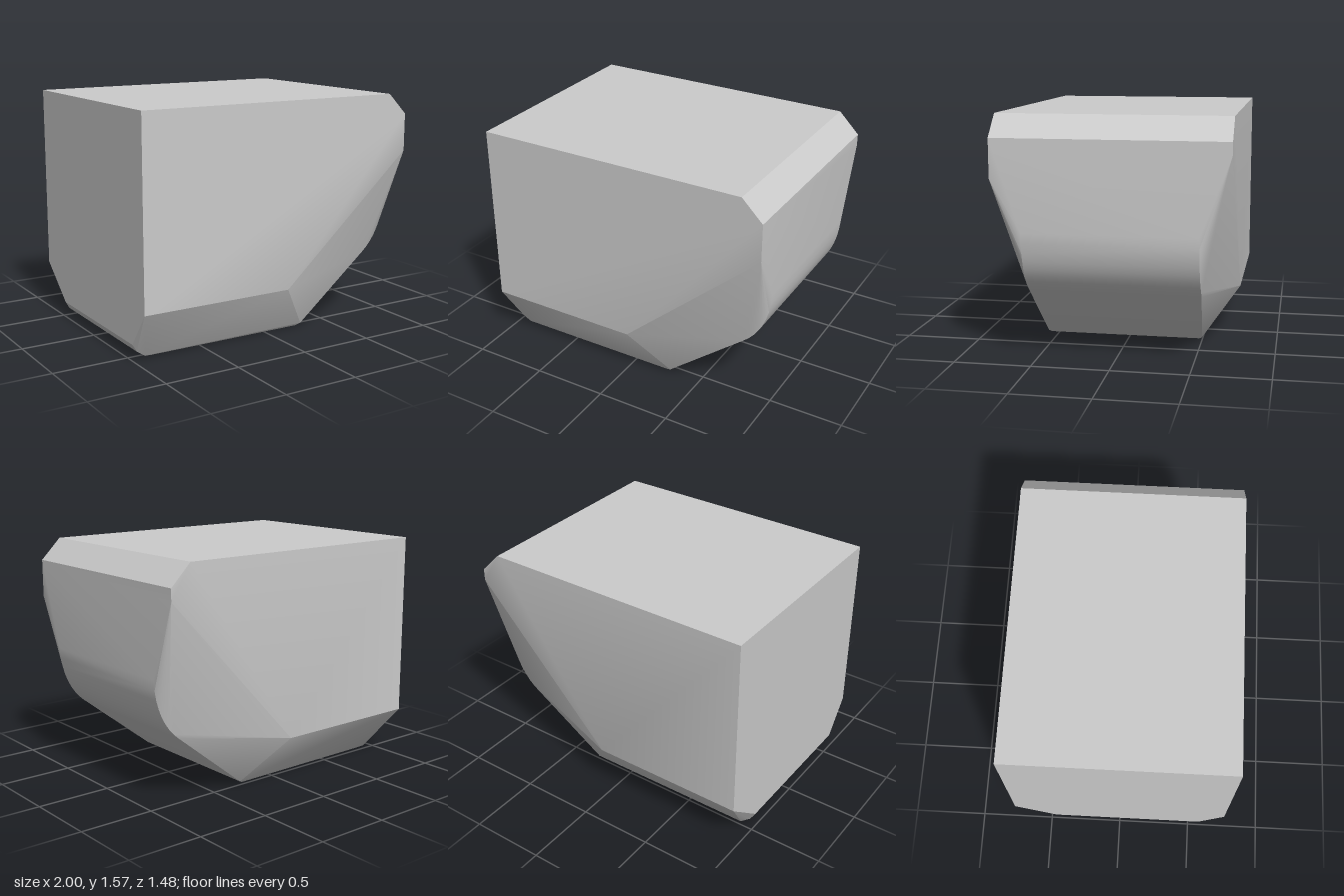
import * as THREE from 'three';
import { ConvexGeometry } from 'three/addons/geometries/ConvexGeometry.js';
import { toCreasedNormals } from 'three/addons/utils/BufferGeometryUtils.js';

// Upper side outline, shared by both flat sides; noseY is where the nose cut ends
const sideOutline = (z, noseY) => [
  [-1, 1.57], [0.86, 1.57], [1, 1.43], [1, noseY], [0.05, 0.34], [-1, 0.34],
].map(([x, y]) => new THREE.Vector3(x, y, z));

// Narrower underside: rounded heel, flat base, sloped and rounded nose
// Each row is x, y, z on the front side, z on the back side
const keel = [
  [-1, 0.11, 0.57, -0.46],
  [-0.97, 0.06, 0.57, -0.47],
  [-0.91, 0.02, 0.565, -0.49],
  [-0.85, 0.003, 0.53, -0.46],
  [0.2, 0.003, 0.53, -0.46],
  [0.25, 0.008, 0.55, -0.48],
  [0.28, 0.025, 0.565, -0.5],
  [0.82, 0.45, 0.55, -0.55],
];

// Quarter-round of the nose
const noseCurve = new THREE.CubicBezierCurve(
  new THREE.Vector2(0.82, 0.45), new THREE.Vector2(0.92, 0.53),
  new THREE.Vector2(0.99, 0.66), new THREE.Vector2(1, 0.85),
);

export function createModel() {
  const points = [...sideOutline(0.74, 1.18), ...sideOutline(-0.74, 1.35)];
  for (const [x, y, front, back] of keel) {
    points.push(new THREE.Vector3(x, y, front), new THREE.Vector3(x, y, back));
  }
  for (const p of noseCurve.getPoints(8).slice(1)) {
    points.push(new THREE.Vector3(p.x, p.y, 0.55), new THREE.Vector3(p.x, p.y, -0.55));
  }

  const body = new THREE.Mesh(
    toCreasedNormals(new ConvexGeometry(points), 0.45),
    new THREE.MeshStandardMaterial({ color: 0xcccccc }),
  );
  body.name = 'chamferedBody';

  const group = new THREE.Group();
  group.name = 'chamferedBlock';
  group.add(body);
  return group;
}
